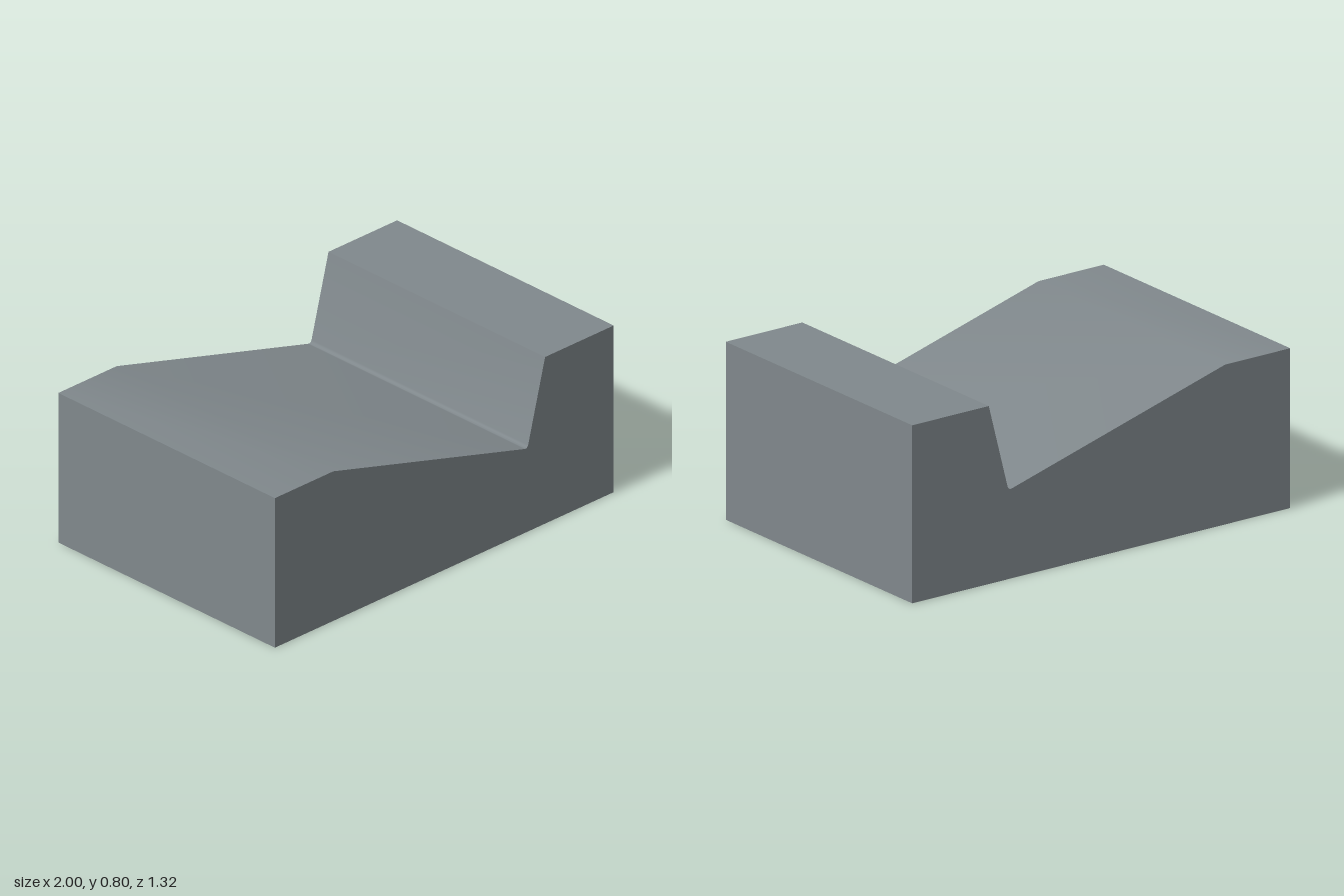
import * as THREE from 'three';
import { toCreasedNormals } from 'three/addons/utils/BufferGeometryUtils.js';

export function createModel() {
  const group = new THREE.Group();
  group.name = 'notchedBlock';

  const greyMetal = new THREE.MeshStandardMaterial({ color: 0x80888c });
  greyMetal.name = 'grey metal';

  // Side profile: low shelf, long ramp, rounded valley, steep wall, high shelf
  const depth = 1.315;
  const profile = new THREE.Shape();
  profile.moveTo(-1, 0);
  profile.lineTo(1, 0);
  profile.lineTo(1, 0.8);
  profile.lineTo(0.595, 0.8);
  profile.lineTo(0.495, 0.415);
  profile.quadraticCurveTo(0.49, 0.398, 0.472, 0.404);
  profile.lineTo(-0.655, 0.718);
  profile.lineTo(-1, 0.718);
  profile.closePath();

  // Block body, with soft shading over the shallow bend and sharp outer edges
  const solid = new THREE.ExtrudeGeometry(profile, { depth, bevelEnabled: false, curveSegments: 4 });
  solid.translate(0, 0, -depth / 2);
  const body = new THREE.Mesh(toCreasedNormals(solid, 0.6), greyMetal);
  body.name = 'blockBody';
  group.add(body);

  return group;
}
